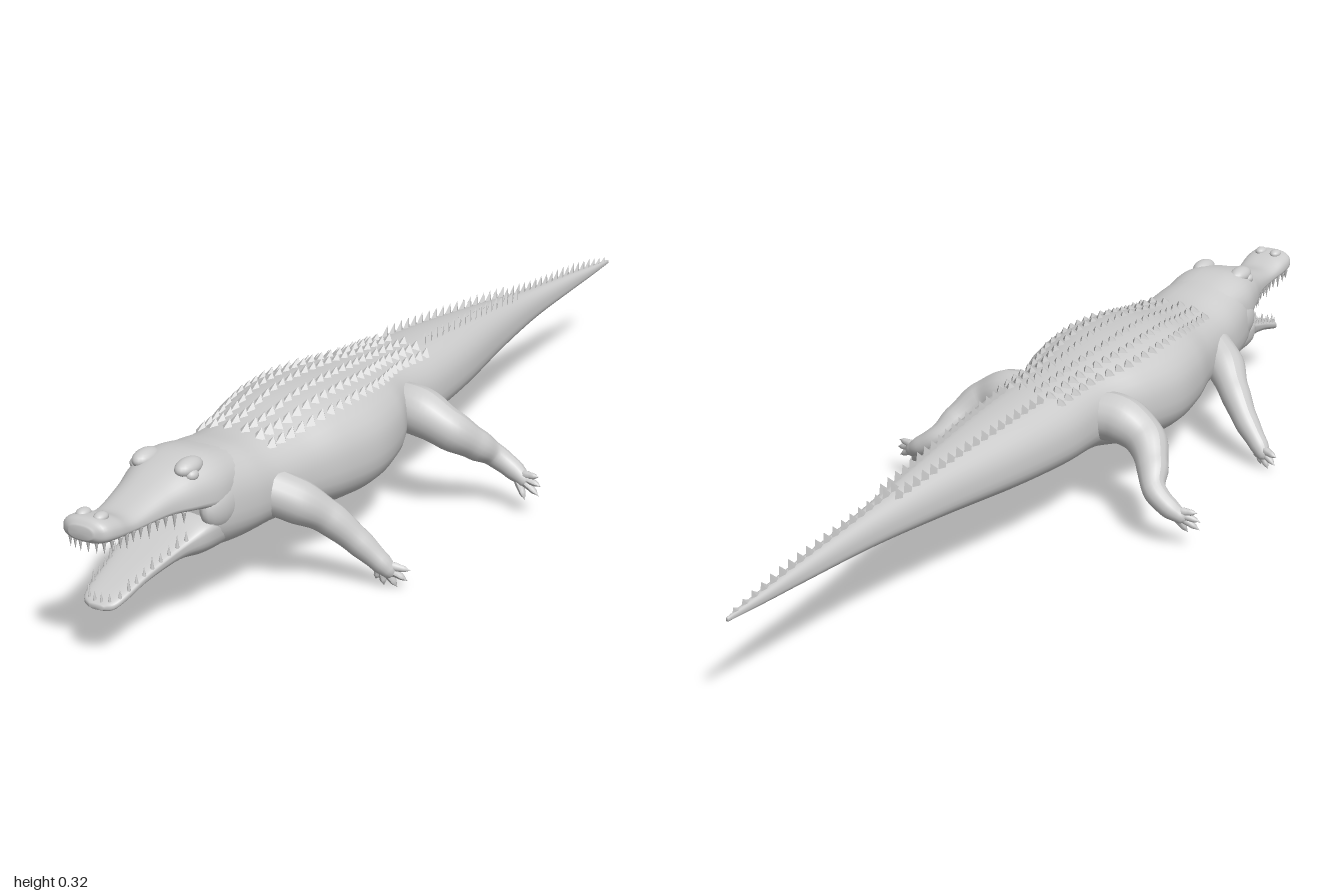
import * as THREE from 'three';
import { mergeGeometries } from 'three/addons/utils/BufferGeometryUtils.js';

const skin = new THREE.MeshStandardMaterial({ color: 0xcccccc, roughness: 0.8 });
const scaleSkin = new THREE.MeshStandardMaterial({ color: 0xcccccc, roughness: 0.8, flatShading: true });

// Stations from back to front: [z, half width, top y, bottom y, height of widest point]
const BODY = [
  [-1, 0.003, 0.197, 0.189, 0.193], [-0.9, 0.011, 0.207, 0.184, 0.195], [-0.8, 0.017, 0.217, 0.18, 0.195],
  [-0.6, 0.03, 0.235, 0.17, 0.195], [-0.4, 0.056, 0.257, 0.155, 0.195], [-0.2, 0.089, 0.275, 0.138, 0.195],
  [-0.05, 0.106, 0.285, 0.13, 0.195], [0.08, 0.11, 0.295, 0.122, 0.2], [0.18, 0.148, 0.304, 0.103, 0.195],
  [0.28, 0.165, 0.31, 0.093, 0.19], [0.38, 0.153, 0.308, 0.096, 0.19], [0.47, 0.128, 0.293, 0.11, 0.19],
  [0.55, 0.114, 0.289, 0.117, 0.19], [0.62, 0.11, 0.298, 0.117, 0.195], [0.68, 0.1, 0.306, 0.12, 0.2],
  [0.73, 0.085, 0.302, 0.128, 0.205],
];
const UPPER_JAW = [
  [0.62, 0.085, 0.296, 0.2, 0.24], [0.7, 0.094, 0.311, 0.205, 0.235], [0.76, 0.081, 0.303, 0.22, 0.238],
  [0.82, 0.061, 0.284, 0.227, 0.242], [0.9, 0.047, 0.263, 0.228, 0.24], [0.95, 0.05, 0.276, 0.232, 0.248],
  [0.985, 0.046, 0.28, 0.235, 0.255], [1, 0.024, 0.268, 0.245, 0.256],
];
const LOWER_JAW = [
  [0.62, 0.082, 0.2, 0.122, 0.17], [0.73, 0.087, 0.205, 0.125, 0.18], [0.79, 0.065, 0.176, 0.132, 0.165],
  [0.87, 0.048, 0.15, 0.122, 0.141], [0.93, 0.041, 0.13, 0.107, 0.121], [0.955, 0.032, 0.119, 0.1, 0.111],
  [0.966, 0.014, 0.112, 0.103, 0.108],
];

// Closed skin through rounded cross-sections
function loft(stations, power, rings, sides = 36) {
  const curveOf = (f) => new THREE.CatmullRomCurve3(stations.map(f), false, 'catmullrom', 0.5);
  const a = curveOf((s) => new THREE.Vector3(s[1], s[2], s[0]));
  const b = curveOf((s) => new THREE.Vector3(s[4], s[3], s[0]));
  const pos = [], index = [];
  const bend = (v) => Math.sign(v) * Math.abs(v) ** (2 / power);
  for (let i = 0; i <= rings; i++) {
    const p = a.getPoint(i / rings), q = b.getPoint(i / rings);
    for (let j = 0; j < sides; j++) {
      const t = (j / sides) * Math.PI * 2, c = bend(Math.cos(t)), s = bend(Math.sin(t));
      pos.push(p.x * c, q.x + s * (s > 0 ? p.y - q.x : q.x - q.y), p.z);
      if (i === rings) continue;
      const k = i * sides + j, n = i * sides + (j + 1) % sides;
      index.push(k, n, k + sides, n, n + sides, k + sides);
    }
  }
  const base = rings * sides, mid = pos.length / 3;
  const first = stations[0], last = stations[stations.length - 1];
  pos.push(0, first[4], first[0], 0, last[4], last[0]);
  for (let j = 0; j < sides; j++) {
    const n = (j + 1) % sides;
    index.push(mid, n, j, mid + 1, base + j, base + n);
  }
  const g = new THREE.BufferGeometry();
  g.setAttribute('position', new THREE.Float32BufferAttribute(pos, 3));
  g.setIndex(index);
  g.computeVertexNormals();
  return g;
}

// Values of a station list at a given z
function sample(stations, z) {
  let i = 0;
  while (i < stations.length - 2 && stations[i + 1][0] < z) i++;
  const p = stations[i], q = stations[i + 1];
  const t = THREE.MathUtils.clamp((z - p[0]) / (q[0] - p[0]), 0, 1);
  return p.map((v, k) => v + (q[k] - v) * t);
}

// Height of the back at x, z
function backHeight(x, z) {
  const [, w, top, , mid] = sample(BODY, z);
  const r = Math.min(Math.abs(x) / w, 1);
  return mid + (top - mid) * (1 - r ** 2.4) ** (1 / 2.4);
}

// Tapering tube; points are [x, y, z, radius], side mirrors x
function limb(points, side, rings, sides) {
  const curve = new THREE.CatmullRomCurve3(points.map((p) => new THREE.Vector3(p[0] * side, p[1], p[2])));
  const g = new THREE.TubeGeometry(curve, rings, 1, sides);
  const pos = g.attributes.position, v = new THREE.Vector3(), lengths = curve.getLengths(200);
  const n = points.length - 1, marks = points.map((p, i) => lengths[Math.round((i / n) * 200)] / lengths[200]);
  for (let i = 0; i <= rings; i++) {
    const u = i / rings, c = curve.getPointAt(u);
    let k = 0;
    while (k < n - 1 && marks[k + 1] < u) k++;
    const t = THREE.MathUtils.smoothstep(u, marks[k], marks[k + 1]);
    const r = THREE.MathUtils.lerp(points[k][3], points[k + 1][3], t);
    for (let j = 0; j <= sides; j++) {
      const m = i * (sides + 1) + j;
      v.fromBufferAttribute(pos, m).sub(c).multiplyScalar(r).add(c);
      pos.setXYZ(m, v.x, v.y, v.z);
    }
  }
  g.computeVertexNormals();
  return g;
}

// Keeled scale leaning towards the tail
function scute(x, y, z, w, h, l, lean) {
  const g = new THREE.ConeGeometry(1, 1, 4, 1, true).translate(0, 0.5, 0).scale(w, h, l);
  const p = g.attributes.position;
  for (let i = 0; i < p.count; i++) p.setZ(i, p.getZ(i) - (p.getY(i) / h) * lean);
  return g.translate(x, y, z);
}

function tooth(x, y, z, h, dir) {
  const g = new THREE.ConeGeometry(0.0045, h, 7);
  if (dir < 0) g.rotateX(Math.PI);
  return g.translate(x, y + dir * h * 0.4, z);
}

export function createModel() {
  const model = new THREE.Group();
  const add = (name, g, mat = skin, parent = model) => {
    const m = new THREE.Mesh(g, mat);
    m.name = name;
    parent.add(m);
    return m;
  };

  add('bodyAndTail', loft(BODY, 2.4, 110));
  add('upperJaw', loft(UPPER_JAW, 2.5, 42));
  add('lowerJaw', loft(LOWER_JAW, 2.7, 36));

  // Rows of scales on the back, neck and tail
  const plates = [];
  for (const s of [-1, 1]) {
    for (const [row, w] of [[0.16, 0.013], [0.42, 0.014], [0.64, 0.012]]) {
      for (let z = 0.53; z > -0.06; z -= 0.027) {
        const x = s * row * Math.min(0.16, sample(BODY, z)[1]);
        plates.push(scute(x, backHeight(x, z) - 0.005, z, w, 0.017, 0.017, 0.01));
      }
    }
    for (let z = -0.07; z > -0.52; z -= 0.026) {
      const x = s * sample(BODY, z)[1] * 0.42;
      plates.push(scute(x, backHeight(x, z) - 0.006, z, 0.007, 0.026, 0.018, 0.014));
    }
  }
  add('backScales', mergeGeometries(plates), scaleSkin);
  const fins = [];
  for (let z = -0.5; z > -0.975; z -= 0.026) {
    const h = 0.027 - Math.max(0, -z - 0.85) * 0.1;
    fins.push(scute(0, backHeight(0, z) - 0.007, z, 0.005, h, 0.018, 0.015));
  }
  add('tailCrest', mergeGeometries(fins), scaleSkin);

  // Teeth along both jaw edges and round the tips
  const upper = [], lower = [];
  for (const s of [-1, 1]) {
    for (let i = 0; i < 10; i++) {
      const z = 0.79 + i * 0.02, u = sample(UPPER_JAW, z);
      upper.push(tooth(s * u[1] * 0.9, u[3] + 0.006, z, i % 3 === 1 ? 0.03 : 0.022, -1));
    }
    for (let i = 0; i < 9; i++) {
      const z = 0.78 + i * 0.02, l = sample(LOWER_JAW, z);
      lower.push(tooth(s * l[1] * 0.88, l[2] - 0.006, z, i % 3 === 1 ? 0.028 : 0.02, 1));
    }
    for (const x of [0.008, 0.022, 0.035]) upper.push(tooth(s * x, 0.241, 0.992 - x * 0.3, 0.026, -1));
    for (const x of [0.007, 0.021]) lower.push(tooth(s * x, 0.112, 0.96 - x * 0.3, 0.024, 1));
  }
  add('upperTeeth', mergeGeometries(upper));
  add('lowerTeeth', mergeGeometries(lower));

  // Eyes with brows, nostrils, cheeks
  for (const s of [-1, 1]) {
    const ball = (name, x, y, z, rx, ry, rz) =>
      add(name, new THREE.SphereGeometry(1, 20, 14).scale(rx, ry, rz).translate(s * x, y, z));
    ball('brow', 0.045, 0.297, 0.745, 0.02, 0.017, 0.034);
    ball('eye', 0.058, 0.288, 0.755, 0.012, 0.011, 0.014);
    ball('nostril', 0.018, 0.277, 0.965, 0.012, 0.009, 0.016);
    ball('cheek', 0.073, 0.215, 0.69, 0.026, 0.045, 0.055);
  }

  // Legs with spread toes
  const legs = [
    ['frontLeg', [[0.07, 0.2, 0.56, 0.045], [0.125, 0.175, 0.53, 0.042], [0.17, 0.138, 0.492, 0.032],
      [0.215, 0.09, 0.463, 0.026], [0.255, 0.05, 0.447, 0.02], [0.272, 0.032, 0.44, 0.015], [0.28, 0.025, 0.437, 0.001]],
      [0.255, 0.047, 0.446],
      [[0.247, 0.018, 0.452], [0.262, 0.007, 0.447], [0.284, 0.004, 0.437], [0.302, 0.018, 0.431], [0.307, 0.038, 0.428]]],
    ['hindLeg', [[0.07, 0.205, 0.085, 0.05], [0.13, 0.205, 0.09, 0.049], [0.19, 0.178, 0.083, 0.041],
      [0.228, 0.142, 0.045, 0.032], [0.252, 0.112, 0.01, 0.024], [0.288, 0.087, 0.001, 0.021],
      [0.32, 0.068, 0.006, 0.014], [0.328, 0.062, 0.008, 0.001]],
      [0.297, 0.08, 0.003],
      [[0.325, 0.035, 0.018], [0.353, 0.047, 0.014], [0.356, 0.066, 0.011], [0.35, 0.084, 0.009]]],
  ];
  for (const [name, path, wrist, tips] of legs) {
    for (const s of [-1, 1]) {
      const leg = new THREE.Group();
      leg.name = (s > 0 ? 'left ' : 'right ') + name;
      model.add(leg);
      add('leg', limb(path, s, 36, 18), skin, leg);
      const toes = tips.map((t) => {
        const at = (f, r) => [...wrist.map((v, i) => v + (t[i] - v) * f), r];
        return limb([at(0, 0.009), at(0.4, 0.009), at(0.75, 0.0065), at(1, 0.0005)], s, 12, 8);
      });
      add('toes', mergeGeometries(toes), skin, leg);
    }
  }
  return model;
}
